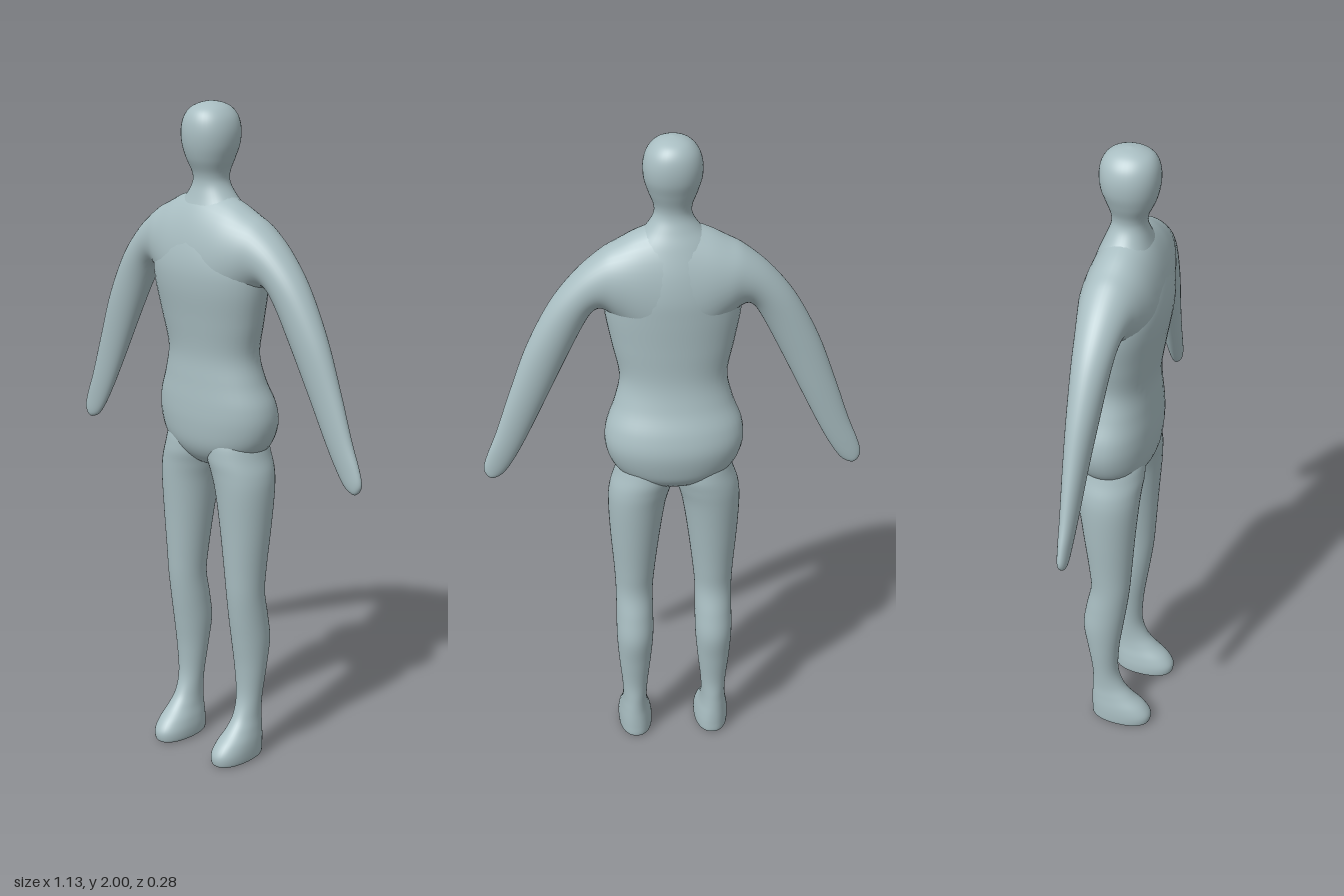
import * as THREE from 'three';

const SIDES = 40, STEPS = 6;

// Catmull-Rom blend of four rows of numbers
function blend(a, b, c, d, t) {
  return b.map((v, k) => v + 0.5 * t * (c[k] - a[k]
    + t * (2 * a[k] - 5 * v + 4 * c[k] - d[k] + t * (3 * (v - c[k]) + d[k] - a[k]))));
}

// Smooth closed loft. Row: [ax, ay, bx, by, zBack, zFront, squareness];
// each section is an oval spanning a to b in xy and zBack to zFront in z.
function loft(rows) {
  const sections = [];
  for (let i = 0; i < rows.length - 1; i++) {
    const prev = rows[Math.max(i - 1, 0)], next = rows[Math.min(i + 2, rows.length - 1)];
    for (let s = 0; s < STEPS; s++) sections.push(blend(prev, rows[i], rows[i + 1], next, s / STEPS));
  }
  sections.push(rows[rows.length - 1]);

  const pos = [], index = [];
  const soft = (v, p) => Math.sign(v) * Math.pow(Math.abs(v), p);
  for (const [ax, ay, bx, by, z0, z1, p] of sections) {
    for (let j = 0; j < SIDES; j++) {
      const t = j / SIDES * Math.PI * 2;
      const u = soft(Math.cos(t), p) / 2, w = soft(Math.sin(t), p) / 2;
      pos.push((ax + bx) / 2 + (bx - ax) * u, (ay + by) / 2 + (by - ay) * u, (z0 + z1) / 2 + (z1 - z0) * w);
    }
  }
  for (let i = 0; i < sections.length - 1; i++) {
    for (let j = 0; j < SIDES; j++) {
      const k = (j + 1) % SIDES, a = i * SIDES, b = a + SIDES;
      index.push(a + j, b + j, a + k, a + k, b + j, b + k);
    }
  }
  // end caps
  const last = (sections.length - 1) * SIDES, mid = pos.length / 3;
  for (const [ax, ay, bx, by, z0, z1] of [sections[0], sections[sections.length - 1]]) {
    pos.push((ax + bx) / 2, (ay + by) / 2, (z0 + z1) / 2);
  }
  for (let j = 0; j < SIDES; j++) {
    const k = (j + 1) % SIDES;
    index.push(mid, j, k, mid + 1, last + k, last + j);
  }
  const g = new THREE.BufferGeometry();
  g.setAttribute('position', new THREE.Float32BufferAttribute(pos, 3));
  g.setIndex(index);
  g.computeVertexNormals();
  return g;
}

export function createModel() {
  const model = new THREE.Group();
  model.name = 'figure';
  const skin = new THREE.MeshStandardMaterial({ color: 0xa9bec2 });
  skin.name = 'blueGrey';
  const add = (name, rows) => {
    const mesh = new THREE.Mesh(loft(rows), skin);
    mesh.name = name;
    model.add(mesh);
  };

  // torso, neck and head: [y, half width, zBack, zFront]
  const trunk = [
    [0.925, 0.02, -0.03, 0.03], [0.94, 0.08, -0.075, 0.06], [0.97, 0.145, -0.113, 0.088],
    [1.01, 0.184, -0.13, 0.105], [1.07, 0.204, -0.139, 0.112], [1.13, 0.2, -0.128, 0.112],
    [1.2, 0.174, -0.102, 0.108], [1.28, 0.158, -0.086, 0.106], [1.38, 0.178, -0.088, 0.12],
    [1.48, 0.197, -0.093, 0.136], [1.55, 0.197, -0.094, 0.137], [1.62, 0.17, -0.084, 0.122],
    [1.69, 0.12, -0.062, 0.094], [1.735, 0.078, -0.043, 0.078], [1.77, 0.056, -0.031, 0.07],
    [1.8, 0.055, -0.032, 0.074], [1.84, 0.07, -0.046, 0.092], [1.88, 0.082, -0.06, 0.103],
    [1.92, 0.084, -0.064, 0.106], [1.955, 0.075, -0.058, 0.1], [1.98, 0.056, -0.041, 0.084],
    [1.994, 0.032, -0.014, 0.056], [2, 0.004, 0.017, 0.025],
  ];
  add('torsoNeckAndHead', trunk.map(([y, w, z0, z1]) => [-w, y, w, y, z0, z1, 0.95]));

  // shoulders and arms, one sweep from hand to hand: [topX, topY, underX, underY, zBack, zFront]
  const arm = [
    [0, 1.755, 0, 1.3, -0.092, 0.133], [0.09, 1.73, 0.08, 1.37, -0.088, 0.126],
    [0.155, 1.698, 0.15, 1.45, -0.077, 0.108], [0.205, 1.67, 0.196, 1.492, -0.064, 0.09],
    [0.28, 1.606, 0.225, 1.492, -0.052, 0.076], [0.355, 1.512, 0.255, 1.45, -0.044, 0.066],
    [0.424, 1.38, 0.313, 1.335, -0.036, 0.054], [0.477, 1.237, 0.378, 1.2, -0.028, 0.04],
    [0.522, 1.105, 0.434, 1.085, -0.02, 0.03], [0.55, 1.035, 0.474, 1.012, -0.015, 0.024],
    [0.563, 0.99, 0.504, 0.97, -0.011, 0.02], [0.557, 0.965, 0.526, 0.956, -0.007, 0.015],
    [0.544, 0.953, 0.54, 0.952, 0.002, 0.007],
  ];
  const span = [
    ...arm.slice(1).reverse().map(([ax, ay, bx, by, z0, z1]) => [-ax, ay, -bx, by, z0, z1, 1]),
    ...arm.map(r => [...r, 1]),
  ];
  add('shouldersAndArms', span);

  // legs and feet: [y, inner x, outer x, zBack, zFront, squareness]
  const leg = [
    [0, 0.078, 0.165, -0.052, 0.122, 0.9], [0.008, 0.07, 0.173, -0.059, 0.131, 0.9],
    [0.035, 0.069, 0.175, -0.06, 0.132, 0.9], [0.065, 0.074, 0.173, -0.06, 0.112, 0.92],
    [0.1, 0.083, 0.167, -0.059, 0.073, 0.96], [0.14, 0.087, 0.162, -0.058, 0.042, 1],
    [0.2, 0.084, 0.164, -0.058, 0.024, 1], [0.29, 0.074, 0.173, -0.071, 0.027, 1],
    [0.38, 0.066, 0.179, -0.085, 0.039, 1], [0.46, 0.065, 0.179, -0.075, 0.051, 1],
    [0.54, 0.065, 0.179, -0.06, 0.061, 1], [0.62, 0.058, 0.183, -0.066, 0.067, 1],
    [0.75, 0.042, 0.193, -0.083, 0.076, 1], [0.86, 0.025, 0.198, -0.098, 0.085, 1],
    [0.92, 0.008, 0.193, -0.106, 0.09, 1], [0.97, -0.005, 0.177, -0.108, 0.094, 1],
    [1.03, 0, 0.158, -0.095, 0.085, 1], [1.09, 0.04, 0.12, -0.04, 0.04, 1],
  ];
  add('leftLegAndFoot', leg.map(([y, a, b, ...r]) => [a, y, b, y, ...r]));
  add('rightLegAndFoot', leg.map(([y, a, b, ...r]) => [-b, y, -a, y, ...r]));

  return model;
}
